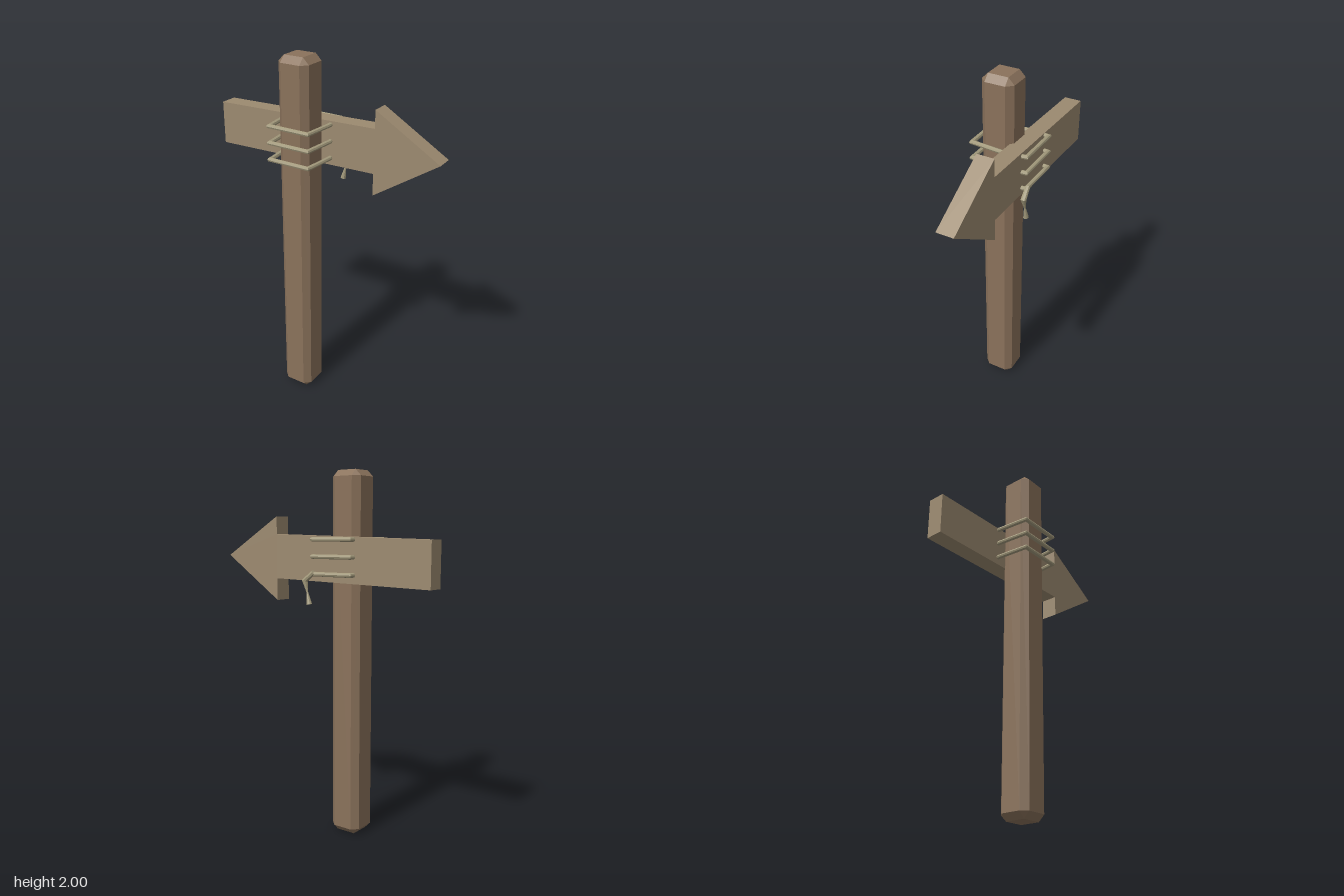
import * as THREE from 'three';
import { ConvexGeometry } from 'three/addons/geometries/ConvexGeometry.js';

const material = (color) => new THREE.MeshStandardMaterial({ color, flatShading: true });
const postWood = material(0x8a725b);
const signWood = material(0x9c8a70);
const ropeFibre = material(0xa39a7c);

function addMesh(parent, name, geometry, mat) {
  const mesh = new THREE.Mesh(geometry, mat);
  mesh.name = name;
  parent.add(mesh);
  return mesh;
}

// Box with every edge cut off at 45 degrees
function chamferedBox(w, h, d, c) {
  const points = [];
  for (const x of [-1, 1]) for (const y of [-1, 1]) for (const z of [-1, 1]) {
    for (const [a, b, e] of [[0, c, c], [c, 0, c], [c, c, 0]]) {
      points.push(new THREE.Vector3(x * (w / 2 - a), y * (h / 2 - b), z * (d / 2 - e)));
    }
  }
  return new ConvexGeometry(points);
}

// Round strand with mitred corners along points [x, y, z, radius]; up is the normal of the path's plane
function strand(path, up, closed, sides = 8) {
  const pts = path.map(([x, y, z]) => new THREE.Vector3(x, y, z));
  const n = pts.length;
  const positions = [];
  const index = [];
  pts.forEach((p, i) => {
    const prev = pts[closed ? (i + n - 1) % n : Math.max(i - 1, 0)];
    const next = pts[closed ? (i + 1) % n : Math.min(i + 1, n - 1)];
    const into = p.clone().sub(prev).normalize();
    const out = next.clone().sub(p).normalize();
    const tangent = into.clone().add(out).normalize();
    const mitre = 1 / Math.max(tangent.dot(out), tangent.dot(into));
    const side = up.clone().cross(tangent).normalize();
    for (let j = 0; j < sides; j++) {
      const a = (j / sides) * Math.PI * 2;
      const v = p.clone()
        .addScaledVector(side, Math.cos(a) * path[i][3] * mitre)
        .addScaledVector(up, Math.sin(a) * path[i][3]);
      positions.push(v.x, v.y, v.z);
    }
  });
  for (let i = 0; i < (closed ? n : n - 1); i++) {
    for (let j = 0; j < sides; j++) {
      const k = (j + 1) % sides;
      const r0 = i * sides;
      const r1 = ((i + 1) % n) * sides;
      index.push(r0 + j, r0 + k, r1 + j, r0 + k, r1 + k, r1 + j);
    }
  }
  // End caps
  if (!closed) {
    const last = (n - 1) * sides;
    for (let j = 1; j < sides - 1; j++) {
      index.push(0, j + 1, j, last, last + j, last + j + 1);
    }
  }
  const geometry = new THREE.BufferGeometry();
  geometry.setAttribute('position', new THREE.Float32BufferAttribute(positions, 3));
  geometry.setIndex(index);
  geometry.computeVertexNormals();
  return geometry;
}

export function createModel() {
  const model = new THREE.Group();
  model.name = 'signpost';

  // Square post with bevelled edges
  const post = addMesh(model, 'post', chamferedBox(0.18, 2, 0.18, 0.034), postWood);
  post.position.set(-0.089, 1, 0.045);

  // Arrow board behind the post
  const outline = [
    [-0.665, 1.402], [0.302, 1.425], [0.302, 1.304], [0.664, 1.548],
    [0.302, 1.763], [0.302, 1.666], [-0.665, 1.64],
  ].map(([x, y]) => new THREE.Vector2(x, y));
  const board = new THREE.ExtrudeGeometry(new THREE.Shape(outline), { depth: 0.096, bevelEnabled: false });
  addMesh(model, 'arrowBoard', board, signWood).position.z = -0.125;

  // Three rope loops lashing the board to the post
  const lashing = new THREE.Group();
  lashing.name = 'ropeLashing';
  model.add(lashing);
  const r = 0.012;
  const loop = [
    [-0.204, 0, 0.162, r], [0.03, 0, 0.162, r], [0.046, 0, -0.02, r],
    [0.031, 0, -0.15, r], [-0.211, 0, -0.15, r], [-0.222, 0, -0.02, r],
  ];
  const loopGeometry = strand(loop, new THREE.Vector3(0, 1, 0), true);
  for (const y of [1.64, 1.55, 1.458]) {
    addMesh(lashing, 'ropeLoop', loopGeometry, ropeFibre).position.y = y;
  }

  // Loose rope end, pinched and then frayed at the tip
  const tail = [
    [0.022, 1.468, -0.155, 0.014], [0.077, 1.422, -0.161, 0.015],
    [0.06, 1.362, -0.161, 0.005], [0.046, 1.297, -0.161, 0.015],
  ];
  addMesh(lashing, 'ropeTail', strand(tail, new THREE.Vector3(0, 0, 1), false), ropeFibre);

  return model;
}
